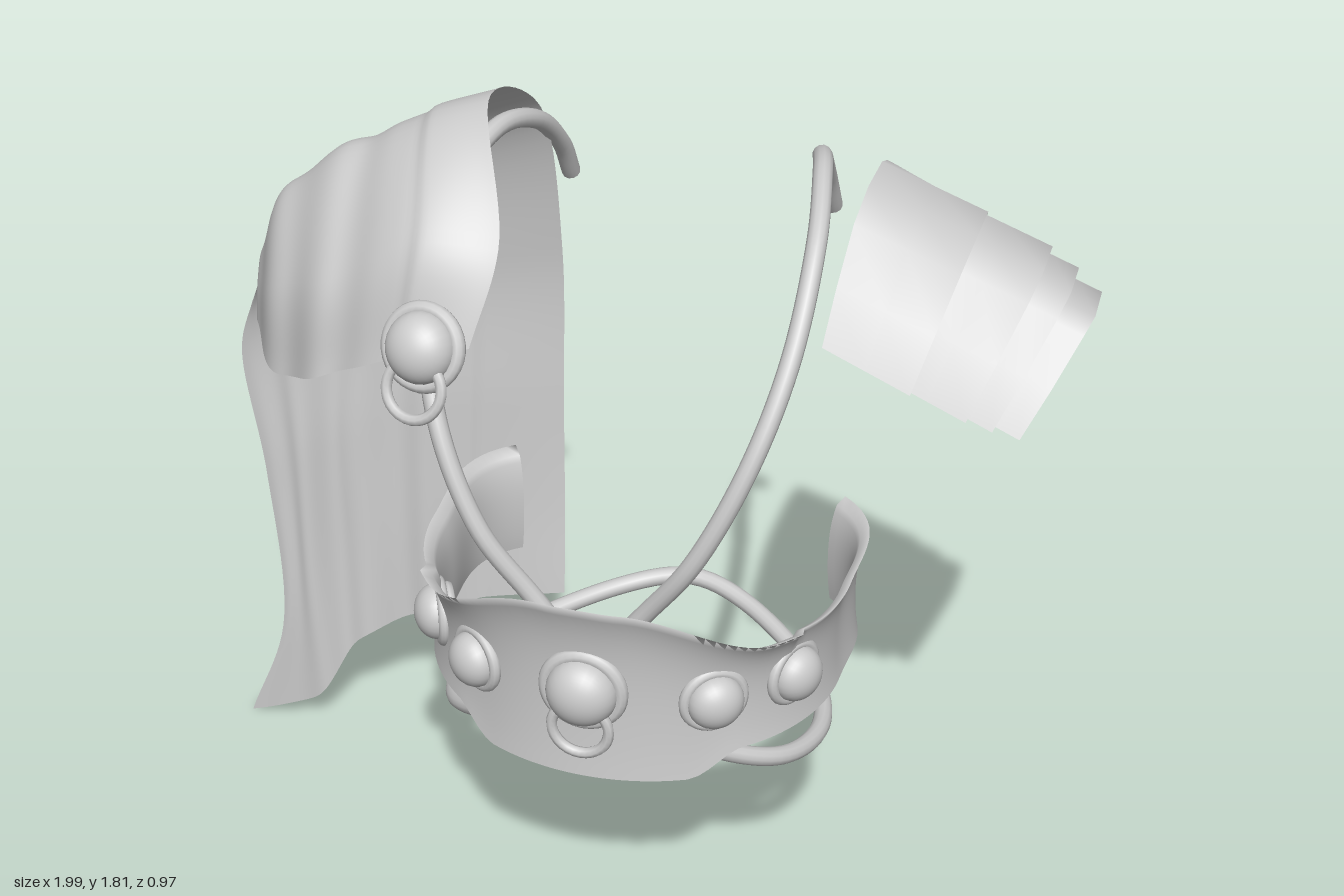
import * as THREE from 'three';

const V = (x, y, z) => new THREE.Vector3(x, y, z);
const { smoothstep, degToRad } = THREE.MathUtils;
const material = new THREE.MeshStandardMaterial({ color: 0xcccccc, side: THREE.DoubleSide });
const CX = 0.06; // body axis of the harness

function addMesh(parent, name, geometry) {
  const mesh = new THREE.Mesh(geometry, material);
  mesh.name = name;
  parent.add(mesh);
  return mesh;
}

// Sheet from a rule f(u, v) -> Vector3, with u and v in 0..1
function sheet(f, nu, nv) {
  const pos = [], index = [];
  for (let i = 0; i <= nu; i++) {
    for (let j = 0; j <= nv; j++) {
      pos.push(...f(i / nu, j / nv).toArray());
      if (i < nu && j < nv) {
        const a = i * (nv + 1) + j, b = a + nv + 1;
        index.push(a, b, a + 1, b, b + 1, a + 1);
      }
    }
  }
  const g = new THREE.BufferGeometry();
  g.setAttribute('position', new THREE.Float32BufferAttribute(pos, 3));
  g.setIndex(index);
  g.computeVertexNormals();
  return g;
}

// Smooth interpolation through [key, value] pairs
function ramp(pairs, k) {
  for (let i = 1; i < pairs.length; i++) {
    const [k0, a] = pairs[i - 1], [k1, b] = pairs[i];
    if (k <= k1) return a + (b - a) * smoothstep(k, k0, k1);
  }
  return pairs[pairs.length - 1][1];
}

// Domed stud with a rim and a back ring, optionally a hanging loop; faces +z
function stud(name, r, loop) {
  const g = new THREE.Group();
  g.name = name;
  const dome = addMesh(g, 'dome', new THREE.SphereGeometry(r * 0.8, 24, 12, 0, Math.PI * 2, 0, Math.PI / 2));
  dome.rotation.x = Math.PI / 2;
  dome.scale.y = 0.8;
  dome.position.z = 0.01;
  addMesh(g, 'rim', new THREE.TorusGeometry(r * 0.84, r * 0.17, 10, 32));
  const back = addMesh(g, 'backRing', new THREE.TorusGeometry(r * 0.66, r * 0.16, 8, 28));
  back.position.z = -0.018;
  if (loop) {
    const ring = addMesh(g, 'hangingRing', new THREE.TorusGeometry(0.063, 0.012, 8, 28));
    ring.position.set(0, -0.085, 0.025);
  }
  return g;
}

function belt() {
  const top = [[0, 0.93], [10, 0.927], [52, 0.81], [75, 0.80], [136, 0.82]];
  const bottom = [[0, 0.485], [28, 0.485], [44, 0.545], [136, 0.555]];
  return sheet((u, v) => {
    const deg = (u * 2 - 1) * 136, a = degToRad(deg), k = Math.abs(deg);
    const p = v * 2, outer = p <= 1, t = outer ? p : 2 - p; // up outside, down inside
    const flare = 0.045 * t ** 5 * (k < 60 ? 1 : 0.6) + 0.012 * (1 - t) ** 4;
    const thick = outer ? 0 : -0.014;
    const open = 0.085 * smoothstep(k, 90, 136); // ends stay apart at the back
    const lo = ramp(bottom, k), hi = ramp(top, k);
    return V(CX + Math.sin(a) * (0.45 + open + flare + thick), lo + (hi - lo) * t, Math.cos(a) * (0.41 + flare + thick));
  }, 96, 32);
}

// One cord: over a shoulder, across the chest, round the back and up again
function cord() {
  const half = [ // offsets from the body axis, from shoulder tip to centre back
    [0.30, 1.46, -0.47], [0.30, 1.56, -0.40], [0.315, 1.67, -0.27], [0.35, 1.71, -0.12], [0.385, 1.64, 0.07],
    [0.38, 1.46, 0.24], [0.33, 1.27, 0.35], [0.23, 1.05, 0.395], [0.12, 0.89, 0.375], [0, 0.73, 0.36],
    [-0.13, 0.59, 0.335], [-0.27, 0.50, 0.27], [-0.38, 0.435, 0.16], [-0.42, 0.395, -0.02],
    [-0.36, 0.385, -0.21], [-0.17, 0.415, -0.40], [-0.04, 0.437, -0.457],
  ];
  const points = half.map(([x, y, z]) => V(CX + x, y, z));
  points.push(...half.map(([x, y, z]) => V(CX - x, y, z)).reverse());
  return new THREE.TubeGeometry(new THREE.CatmullRomCurve3(points), 260, 0.021, 12);
}

// Cape: each column runs from the front edge over the shoulder down to the hem
function cape() {
  const columns = [
    [[-0.21, 1.42, 0.31], [-0.18, 1.60, 0.20], [-0.28, 1.81, -0.05], [-0.25, 1.69, -0.29], [-0.24, 1.3, -0.40], [-0.24, 0.9, -0.40], [-0.235, 0.62, -0.385], [-0.23, 0.4, -0.36]],
    [[-0.38, 1.36, 0.30], [-0.36, 1.60, 0.22], [-0.42, 1.76, -0.05], [-0.42, 1.62, -0.27], [-0.43, 1.25, -0.36], [-0.44, 0.9, -0.35], [-0.45, 0.6, -0.34], [-0.45, 0.36, -0.33]],
    [[-0.55, 1.27, 0.25], [-0.54, 1.48, 0.20], [-0.57, 1.68, -0.05], [-0.56, 1.55, -0.24], [-0.57, 1.2, -0.33], [-0.58, 0.85, -0.32], [-0.58, 0.55, -0.31], [-0.58, 0.31, -0.31]],
    [[-0.70, 1.20, 0.17], [-0.70, 1.40, 0.13], [-0.74, 1.56, -0.06], [-0.72, 1.45, -0.23], [-0.72, 1.15, -0.30], [-0.74, 0.8, -0.28], [-0.73, 0.48, -0.27], [-0.72, 0.24, -0.26]],
    [[-0.82, 1.22, 0.0], [-0.82, 1.31, -0.02], [-0.83, 1.38, -0.09], [-0.84, 1.3, -0.19], [-0.86, 1.1, -0.24], [-0.84, 0.75, -0.23], [-0.83, 0.38, -0.22], [-0.82, 0.08, -0.22]],
    [[-0.86, 1.17, -0.16], [-0.87, 1.21, -0.17], [-0.88, 1.23, -0.18], [-0.92, 1.15, -0.21], [-0.96, 1.02, -0.23], [-0.92, 0.7, -0.23], [-0.90, 0.28, -0.22], [-1.0, 0.0, -0.22]],
  ].map(c => new THREE.CatmullRomCurve3(c.map(p => V(...p))));
  const rows = 72;
  const across = Array.from({ length: rows + 1 }, (_, i) =>
    new THREE.CatmullRomCurve3(columns.map(c => c.getPoint(i / rows))));
  return sheet((u, v) => {
    const p = across[Math.round(u * rows)].getPoint(v);
    // soft folds following the drape, plus a step where two widths overlap
    const fold = 0.011 * Math.sin(v * 30 + 0.6) * smoothstep(v, 0.25, 0.45) * (1 - 0.8 * v ** 4);
    const offset = fold - 0.01 * smoothstep(v, 0.18, 0.21);
    const back = smoothstep(u, 0.15, 0.42);
    p.z += offset * (1 - 2 * back);
    p.y += offset * 4 * back * (1 - back);
    return p;
  }, rows, 80);
}

// Overlapping arched shoulder plates, stepping down and outwards
function shoulderPlates() {
  const g = new THREE.Group();
  g.name = 'leftShoulderPlates';
  const arc = [[0.21, 0.25], [0.15, 0.14], [0.06, 0.035], [-0.05, 0], [-0.18, 0.01], [-0.25, 0.07], [-0.34, 0.17]];
  const plates = [ // start, end, drop, length of the front side
    [0, 0.24, 0, 1], [0.18, 0.39, 0.008, 1], [0.34, 0.46, 0.025, 0.95], [0.42, 0.53, 0.05, 0.85],
  ];
  plates.forEach(([s0, s1, drop, front], i) => {
    addMesh(g, `plate${i + 1}`, sheet((u, v) => {
      const [z, d] = arc[Math.round(v * (arc.length - 1))];
      const s = s0 + (s1 - s0) * u;
      const depth = d * (z > 0 ? front : 0.5 + 1.2 * s) + drop; // back side deepens outwards
      const inset = z > 0 ? i * 0.025 : 0;
      return V(0.52 + s * 0.943 - depth * (0.1 + 0.75 * s), 1.72 - s * 0.33 - depth * 0.95, z - inset);
    }, 2, arc.length - 1));
  });
  return g;
}

export function createModel() {
  const model = new THREE.Group();
  model.name = 'harnessWithCape';
  addMesh(model, 'belt', belt());
  addMesh(model, 'cord', cord());
  addMesh(model, 'cape', cape());
  model.add(shoulderPlates());

  // Belt studs, spread around the front
  [-63, -36, 0, 36, 63].forEach(deg => {
    const a = degToRad(deg), centre = deg === 0;
    const s = stud(centre ? 'centreStud' : 'beltStud', centre ? 0.098 : 0.078, centre);
    s.position.set(CX + Math.sin(a) * 0.447, centre ? 0.705 : 0.68, Math.cos(a) * 0.412);
    s.rotation.y = a;
    model.add(s);
  });

  // Brooch pinning the cape at the front of the shoulder
  const brooch = stud('capeBrooch', 0.095, true);
  brooch.position.set(-0.305, 1.415, 0.32);
  brooch.rotation.set(-0.35, -0.15, 0);
  model.add(brooch);
  return model;
}
